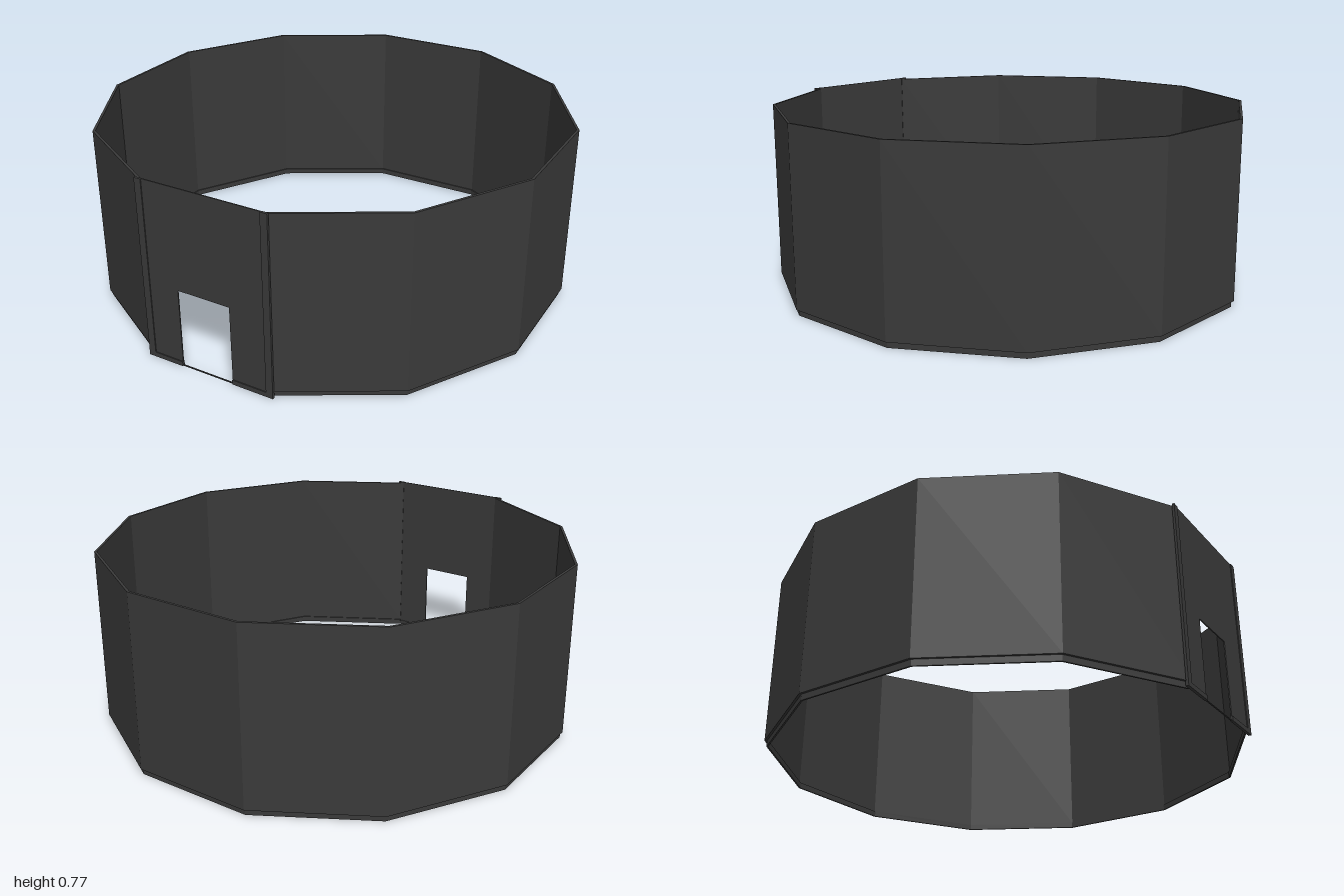
import * as THREE from 'three';

const CENTRE_Z = -0.007;
const DOOR_ANGLE = 65; // direction the entrance panel faces, degrees from +x towards +z

// Open twelve-sided ring: eleven straight walls, leaving the entrance side free
function openRing(outer, inner, y0, y1) {
  const point = (r, i) => {
    const a = THREE.MathUtils.degToRad(DOOR_ANGLE + 15 + i * 30);
    return new THREE.Vector2(r * Math.cos(a), -r * Math.sin(a));
  };
  const pts = [];
  for (let i = 0; i <= 11; i++) pts.push(point(outer, i));
  for (let i = 11; i >= 0; i--) pts.push(point(inner, i));
  const geo = new THREE.ExtrudeGeometry(new THREE.Shape(pts), { depth: y1 - y0, bevelEnabled: false });
  geo.rotateX(-Math.PI / 2);
  geo.translate(0, y0, CENTRE_Z);
  return geo;
}

export function createModel() {
  const model = new THREE.Group();
  model.name = 'ringWall';
  const charcoal = new THREE.MeshStandardMaterial({ color: 0x3a3a3a });
  charcoal.name = 'charcoal';

  const add = (parent, name, geo, x = 0, y = 0, z = 0) => {
    const mesh = new THREE.Mesh(geo, charcoal);
    mesh.name = name;
    mesh.position.set(x, y, z);
    parent.add(mesh);
  };

  // Main wall and the slightly recessed skirting below it
  add(model, 'wall', openRing(1.007, 0.996, 0.025, 0.768));
  add(model, 'skirting', openRing(0.997, 0.99, 0, 0.025));

  // Entrance panel with a doorway, turned to face its side of the ring
  const entrance = new THREE.Group();
  entrance.name = 'entrance';
  entrance.rotation.y = THREE.MathUtils.degToRad(90 - DOOR_ANGLE);
  entrance.position.z = CENTRE_Z;
  model.add(entrance);

  const half = 0.287, top = 0.773, doorX = -0.01, doorHalf = 0.116, doorTop = 0.34;
  const outline = [
    [-half, 0], [doorX - doorHalf, 0], [doorX - doorHalf, doorTop], [doorX + doorHalf, doorTop],
    [doorX + doorHalf, 0], [half, 0], [half, top], [-half, top],
  ].map(([x, y]) => new THREE.Vector2(x, y));
  const panel = new THREE.ExtrudeGeometry(new THREE.Shape(outline), { depth: 0.005, bevelEnabled: false });
  add(entrance, 'doorPanel', panel, 0, 0, 0.964);

  // Corner trims and base strips on both sides of the doorway
  for (const side of [-1, 1]) {
    add(entrance, 'cornerTrim', new THREE.BoxGeometry(0.03, top, 0.01), side * (half - 0.015), top / 2, 0.968);
    const inner = doorX + side * doorHalf;
    const width = Math.abs(side * half - inner);
    add(entrance, 'baseStrip', new THREE.BoxGeometry(width, 0.02, 0.012), (side * half + inner) / 2, 0.01, 0.967);
  }
  add(entrance, 'threshold', new THREE.BoxGeometry(doorHalf * 2, 0.004, 0.005), doorX, 0.002, 0.9665);

  return model;
}
